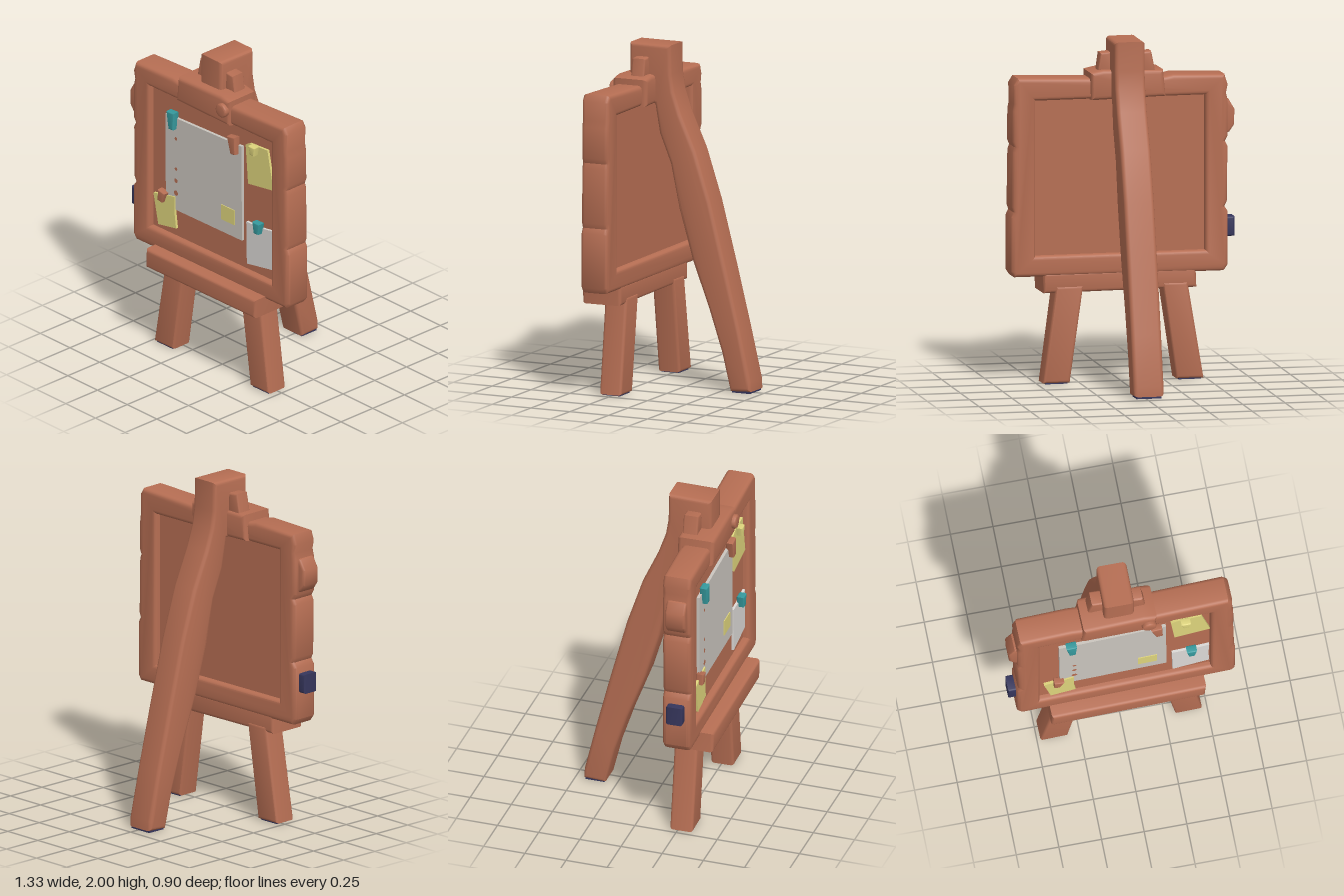
import * as THREE from 'three';
import { toCreasedNormals } from 'three/addons/utils/BufferGeometryUtils.js';

const mat = (name, color) => Object.assign(new THREE.MeshStandardMaterial({ color }), { name });

export function createModel() {
  const wood = mat('wood', 0xb66e53);
  const paper = mat('greyPaper', 0xcac5be);
  const white = mat('whitePaper', 0xdcd9d6);
  const yellow = mat('yellowPaper', 0xded47c);
  const teal = mat('tealClip', 0x369a9e);
  const navy = mat('navyRubber', 0x36365c);

  const model = new THREE.Group();
  model.name = 'easel';
  // Front assembly is turned very slightly, giving a handmade look
  const front = new THREE.Group();
  front.name = 'frontAssembly';
  front.position.z = 0.28;
  front.rotation.y = 0.02;
  model.add(front);

  const toShape = pts => new THREE.Shape(pts.map(p => new THREE.Vector2(...p)));
  const rect = (x0, y0, x1, y1) => [[x0, y0], [x1, y0], [x1, y1], [x0, y1]];

  // Outline extruded between two depths, with softly rounded edges
  function slabGeometry(pts, z0, z1, bevel = 0, hole = null) {
    const shape = toShape(pts);
    if (hole) shape.holes.push(toShape(hole));
    const geo = new THREE.ExtrudeGeometry(shape, {
      depth: z1 - z0 - 2 * bevel, bevelEnabled: bevel > 0, bevelThickness: bevel,
      bevelSize: bevel, bevelOffset: -bevel, bevelSegments: 3, curveSegments: 12,
    });
    geo.translate(0, 0, z0 + bevel);
    return toCreasedNormals(geo, 0.65);
  }
  function add(name, geo, material, parent = model) {
    const mesh = new THREE.Mesh(geo, material);
    mesh.name = name;
    parent.add(mesh);
    return mesh;
  }
  // Slab in the front assembly; depths are given in model space
  const slab = (name, pts, z0, z1, bevel, material = wood, hole = null) =>
    add(name, slabGeometry(pts, z0 - 0.28, z1 - 0.28, bevel, hole), material, front);

  // Frame with worn notches, and the recessed board
  slab('frame', [
    [-0.605, 1.77], [-0.625, 1.71], [-0.615, 1.66], [-0.625, 1.62], [-0.625, 1.41], [-0.608, 1.38], [-0.624, 1.35],
    [-0.62, 1.03], [-0.605, 1.0], [-0.625, 0.97], [-0.625, 0.66], [-0.6, 0.625],
    [0.64, 0.63], [0.66, 0.66], [0.66, 0.98], [0.645, 1.01], [0.655, 1.04],
    [0.65, 1.36], [0.64, 1.39], [0.652, 1.42], [0.65, 1.6], [0.642, 1.64], [0.645, 1.75], [0.62, 1.79],
    [0.2, 1.775], [-0.25, 1.77], [-0.3, 1.78],
  ], 0.195, 0.365, 0.024, wood, rect(-0.49, 0.75, 0.515, 1.655));
  slab('board', rect(-0.52, 0.72, 0.54, 1.68), 0.235, 0.325, 0);

  // Clamp block on top, with pegs and a round knob
  slab('clampBlock', [[-0.25, 1.66], [0.19, 1.65], [0.195, 1.81], [0.12, 1.825], [-0.235, 1.815]], 0.165, 0.385, 0.025);
  slab('leftPeg', [[0.055, 1.78], [0.15, 1.78], [0.13, 1.92], [0.07, 1.925]], 0.205, 0.29, 0.012);
  slab('rightPeg', [[-0.195, 1.78], [-0.09, 1.78], [-0.1, 1.92], [-0.165, 1.925]], 0.18, 0.27, 0.012);
  const knob = new THREE.Shape().absarc(0.145, 1.745, 0.043, 0, Math.PI * 2);
  slab('clampKnob', knob.getPoints(6).slice(0, -1).map(p => [p.x, p.y]), 0.36, 0.41, 0.012);

  // Side knob and side stop
  slab('sideKnob', [[-0.6, 1.63], [-0.635, 1.62], [-0.67, 1.56], [-0.668, 1.47], [-0.64, 1.43], [-0.6, 1.41]], 0.225, 0.345, 0.015);
  slab('sideStop', rect(-0.67, 0.82, -0.6, 0.935), 0.23, 0.33, 0.012, navy);

  // Tray
  slab('tray', [[-0.44, 0.535], [0.465, 0.53], [0.472, 0.65], [-0.435, 0.655]], 0.2, 0.445, 0.02);

  // Splayed front legs with rubber soles
  const legs = {
    rightLeg: [[-0.48, 0.006], [-0.32, 0.006], [-0.235, 0.57], [-0.385, 0.57]],
    leftLeg: [[0.312, 0.006], [0.47, 0.006], [0.395, 0.57], [0.232, 0.57]],
  };
  for (const [name, pts] of Object.entries(legs)) {
    slab(name, pts, 0.195, 0.335, 0.018);
    slab(name + 'Sole', rect(pts[0][0] + 0.014, 0, pts[1][0] - 0.014, 0.009), 0.209, 0.321, 0, navy);
  }

  // Bent back leg rising into the top post: profile as [z, y]
  const backLeg = slabGeometry([
    [0.33, 2], [0.33, 1.68], [0.17, 1.65], [0.14, 1.48], [0.07, 1.31], [0.015, 1.05], [-0.07, 0.76],
    [-0.18, 0.47], [-0.26, 0.23], [-0.315, 0.006], [-0.445, 0.012], [-0.443, 0.07],
    [-0.375, 0.36], [-0.285, 0.72], [-0.185, 1.1], [-0.09, 1.39], [0.005, 1.6], [0.05, 1.73], [0.066, 1.83], [0.07, 2],
  ], -0.073, 0.105, 0.022);
  backLeg.rotateY(-Math.PI / 2);
  add('backLeg', backLeg, wood);
  add('backLegSole', new THREE.BoxGeometry(0.145, 0.012, 0.115), navy).position.set(-0.016, 0.006, -0.38);

  // Papers pinned to the board
  slab('largeSheet', [[-0.375, 1.515], [0.255, 1.532], [0.257, 0.925], [-0.28, 0.925], [-0.37, 0.95]], 0.324, 0.343, 0, paper);
  slab('upperNote', [[0.285, 1.555], [0.32, 1.575], [0.465, 1.582], [0.49, 1.46], [0.515, 1.34], [0.305, 1.31]], 0.324, 0.34, 0, yellow);
  slab('lowerNote', [[0.29, 1.06], [0.4, 1.06], [0.51, 1.075], [0.505, 0.95], [0.51, 0.825], [0.295, 0.79]], 0.324, 0.34, 0, white);
  slab('cornerNote', [[-0.465, 0.975], [-0.29, 1.01], [-0.29, 0.9], [-0.278, 0.81], [-0.425, 0.785]], 0.335, 0.351, 0, yellow);
  slab('smallSticker', rect(0.09, 1.005, 0.2, 1.1), 0.342, 0.348, 0, yellow);

  // Punched holes in the large sheet
  for (const [y, r] of [[1.385, 0.011], [1.19, 0.011], [1.115, 0.014], [1.035, 0.017]]) {
    const dot = add('punchHole', new THREE.CircleGeometry(r, 10), wood, front);
    dot.position.set(-0.285, y, 0.345 - 0.28);
  }

  // Clips: centre x, centre y, width, height, tilt, material
  const clips = [
    [-0.303, 1.503, 0.062, 0.11, 0.05, teal],
    [0.203, 1.528, 0.065, 0.11, 0.15, wood],
    [0.368, 1.552, 0.055, 0.055, 0, yellow],
    [0.402, 1.065, 0.06, 0.07, 0, teal],
    [-0.385, 0.985, 0.06, 0.068, -0.2, wood],
  ];
  for (const [x, y, w, h, tilt, material] of clips) {
    const geo = slabGeometry([[-w * 0.3, -h / 2], [w * 0.3, -h / 2], [w / 2, h / 2], [-w / 2, h / 2]], 0, 0.045, 0.007);
    const clip = add('clip', geo, material, front);
    clip.position.set(x, y, 0.33 - 0.28);
    clip.rotation.z = tilt;
  }
  return model;
}
